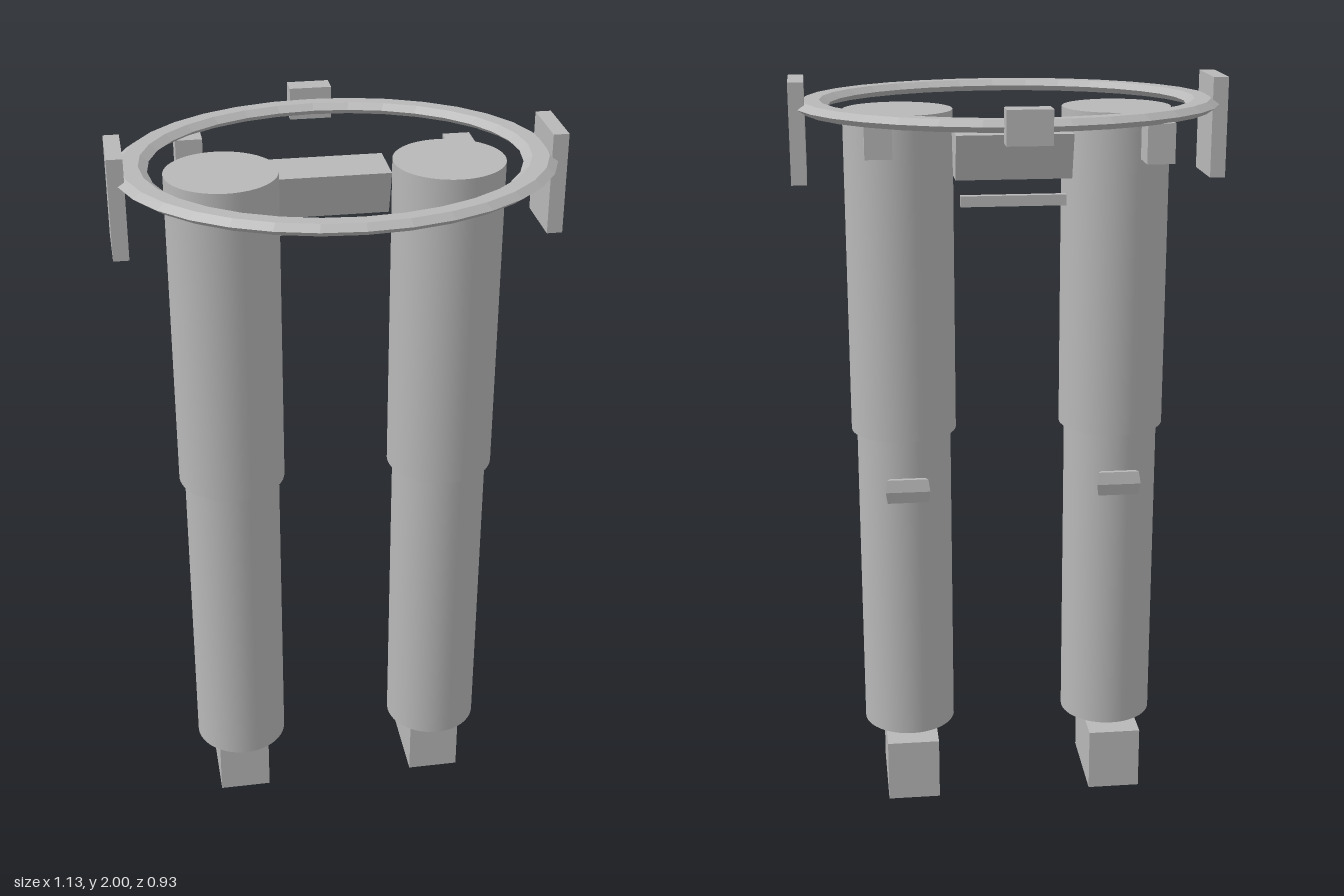
import * as THREE from 'three';

export function createModel() {
  const model = new THREE.Group();
  const grey = new THREE.MeshStandardMaterial({ color: 0xb8b8b8 });
  grey.name = 'plain grey';
  const flatGrey = grey;

  const add = (name, geometry, x, y, z, material = grey) => {
    const mesh = new THREE.Mesh(geometry, material);
    mesh.name = name;
    mesh.position.set(x, y, z);
    model.add(mesh);
    return mesh;
  };

  // Box given by its limits on each axis
  const box = (name, x0, x1, y0, y1, z0, z1) =>
    add(name, new THREE.BoxGeometry(x1 - x0, y1 - y0, z1 - z0),
      (x0 + x1) / 2, (y0 + y1) / 2, (z0 + z1) / 2);

  // Extrudes a (z, y) profile along x, centred on x = 0
  const prism = (profile, width) => {
    const shape = new THREE.Shape(profile.map(([z, y]) => new THREE.Vector2(-z, y)));
    const geometry = new THREE.ExtrudeGeometry(shape, { depth: width, bevelEnabled: false });
    return geometry.translate(0, 0, -width / 2).rotateY(Math.PI / 2);
  };

  // Clip: ridged bar that narrows towards the leg
  const clipGeometry = () => {
    const geometry = prism(
      [[-0.131, -0.033], [-0.143, -0.033], [-0.15, 0], [-0.143, 0.033], [-0.131, 0.033]], 1);
    const p = geometry.attributes.position;
    for (let i = 0; i < p.count; i++) {
      const t = (-0.131 - p.getZ(i)) / 0.019;
      p.setX(i, p.getX(i) * (0.094 + 0.026 * t));
    }
    geometry.computeVertexNormals();
    return geometry;
  };

  // Legs, feet, clips and side plates, mirrored
  for (const [side, s] of [['left', 1], ['right', -1]]) {
    const x = s * 0.287;
    add(side + 'UpperLeg', new THREE.CylinderGeometry(0.143, 0.143, 0.865, 48), x, 1.4875, 0.017);
    add(side + 'LowerLeg', new THREE.CylinderGeometry(0.128, 0.128, 0.88, 48), x, 0.615, 0.017);
    box(side + 'Foot', x - 0.072, x + 0.072, 0, 0.175, -0.167, 0.093);
    add(side + 'LegClip', clipGeometry(), x, 0.922, 0);
    box(side + 'BeltPlate', s * 0.546 - 0.02, s * 0.546 + 0.02, 1.74, 2, -0.067, 0.105);
  }

  // Oval belt: six-sided tube, flattened and widened
  const belt = new THREE.TorusGeometry(0.412, 0.035, 6, 32).rotateX(Math.PI / 2)
    .scale(1.237, 0.5, 1).toNonIndexed();
  belt.computeVertexNormals();
  add('beltRing', belt, 0, 1.931, 0.017, flatGrey);

  // Blocks around the belt
  box('backBlock', -0.056, 0.056, 1.892, 1.977, -0.468, -0.411);
  box('leftPouch', 0.31, 0.38, 1.818, 1.918, -0.168, -0.09);
  box('rightPouch', -0.38, -0.31, 1.818, 1.918, -0.31, -0.226);

  // Hip block, narrower below, with a thin bar under it
  add('hipBlock', prism(
    [[-0.058, 1.757], [-0.135, 1.757], [-0.168, 1.875], [-0.025, 1.875]].reverse(), 0.3), 0, 0, 0);
  box('hipBar', -0.137, 0.137, 1.687, 1.715, -0.13, -0.11);

  return model;
}
